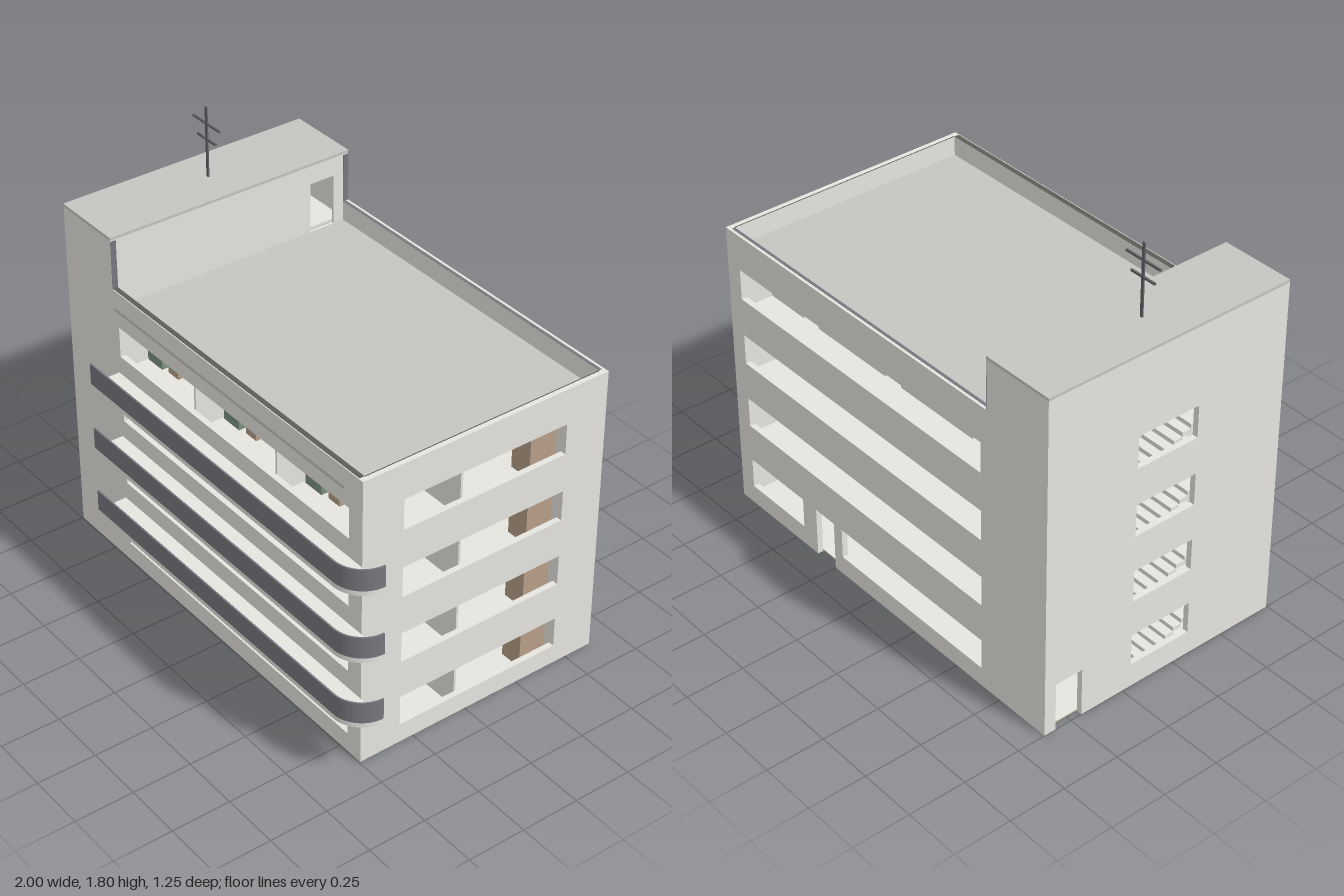
import * as THREE from 'three';

const mat = (name, color) => {
  const m = new THREE.MeshStandardMaterial({ color });
  m.name = name;
  return m;
};

export function createModel() {
  const concrete = mat('concrete', 0xe5e4df);
  const roofGrey = mat('roof grey', 0xc4c4c0);
  const railGrey = mat('rail grey', 0x78777e);
  const wood = mat('wood brown', 0xb59e86);
  const sofaGreen = mat('sofa green', 0x7b907f);
  const bedGrey = mat('bed grey', 0xaeb2b2);
  const dark = mat('dark joint', 0x5c5d57);
  const metal = mat('antenna metal', 0x606063);

  const root = new THREE.Group();
  root.name = 'apartmentBlock';

  const add = (name, geo, material) => {
    const m = new THREE.Mesh(geo, material);
    m.name = name;
    root.add(m);
    return m;
  };
  // box given by its limits
  const box = (name, m, x0, x1, y0, y1, z0, z1) =>
    add(name, new THREE.BoxGeometry(x1 - x0, y1 - y0, z1 - z0), m)
      .position.set((x0 + x1) / 2, (y0 + y1) / 2, (z0 + z1) / 2);

  // wall outline along u, with door notches [u0, u1, height] cut into its foot
  const outline = (u0, u1, h, doors = []) => {
    const p = [[u0, 0]];
    for (const [a, b, t] of doors) p.push([a, 0], [a, t], [b, t], [b, 0]);
    p.push([u1, 0], [u1, h], [u0, h]);
    return p;
  };
  const toPath = (C, pts) => new C(pts.map(([x, y]) => new THREE.Vector2(x, y)));
  const wallGeo = (pts, holes, depth) => {
    const s = toPath(THREE.Shape, pts);
    for (const [a, b, c, d] of holes) s.holes.push(toPath(THREE.Path, [[a, c], [a, d], [b, d], [b, c]]));
    return new THREE.ExtrudeGeometry(s, { depth, bevelEnabled: false });
  };
  // wall facing front/back, starting at depth z
  const wallZ = (name, pts, holes, z, t, y = 0) =>
    add(name, wallGeo(pts, holes, t), concrete).position.set(0, y, z);
  // wall facing left/right, u = -z
  const wallX = (name, pts, holes, x, t) => {
    const m = add(name, wallGeo(pts, holes, t), concrete);
    m.rotation.y = Math.PI / 2;
    m.position.x = x;
  };

  const FLOORS = [0, 0.3, 0.6, 0.9];
  const L = -1, R = 0.867, F = 0.495, B = -0.627, T = 0.025, TX = -0.677;
  const H = 1.272, TH = 1.485, ROOF = 1.188;
  const sill = 0.084, head = 0.217;

  // outer shell
  const top = [[R, H], [TX, H], [TX, TH], [L, TH]];
  wallZ('frontWall', [[L, 0], [R, 0], ...top],
    FLOORS.map(f => [-0.645, 0.79, f + sill, f + head]), F - T, T);
  wallZ('backWall', [[L, 0], [0.25, 0], [0.25, head], [0.365, head], [0.365, 0], [R, 0], ...top],
    [[-0.645, 0.2, sill, head], [0.45, 0.79, sill, head],
      ...FLOORS.slice(1).map(f => [-0.645, 0.79, f + sill, f + head])], B, T);
  wallX('rightWall', outline(-F + T, -B - T, H),
    FLOORS.map(f => [-0.312, 0.438, f + sill, f + head]), R - T, T);
  wallX('leftWall', outline(-F + T, -B - T, TH, [[0.45, 0.575, 0.215]]),
    FLOORS.map(f => [-0.075, 0.21, f + 0.105, f + 0.245]), L, T);
  wallX('stairTowerWall', outline(-F + T, -B - T, TH, [[0.45, 0.56, 0.21]]),
    [...FLOORS.slice(1).map(f => [0.45, 0.56, f + 0.005, f + 0.21]), [0.44, 0.555, ROOF, 1.405]],
    TX - 0.012, 0.012);

  // roofs and parapet joints
  box('mainRoof', roofGrey, TX, R - T, 1.175, ROOF, B + T, F - T);
  box('towerRoof', roofGrey, L, TX, TH, 1.497, B, F);
  box('frontParapetCap', dark, TX, R - T, H, H + 0.0008, F - T, F - 0.004);
  box('backParapetJoint', railGrey, TX, R - T, H, H + 0.0008, B + 0.012, B + T);
  box('rightParapetJoint', dark, R - T, R - T + 0.004, H, H + 0.0008, B + T, F - T);
  for (const z of [F - T, B])
    box('towerWallEnd', railGrey, TX, TX + 0.0008, H, TH - 0.004, z, z + T);
  box('facadeStrip', roofGrey, -0.67, 0.765, 1.18, 1.196, F, F + 0.0005);

  // curved balconies with solid railings
  const C = 0.87, r = 0.13;
  const slab = new THREE.Shape();
  slab.moveTo(-0.66, -F);
  slab.lineTo(-0.66, -F - r);
  slab.lineTo(C, -F - r);
  slab.absarc(C, -F, r, -Math.PI / 2, 0, false);
  const rail = new THREE.Shape();
  rail.moveTo(-0.66, -F - r);
  rail.lineTo(C, -F - r);
  rail.absarc(C, -F, r, -Math.PI / 2, 0, false);
  rail.lineTo(C + r - 0.007, -F);
  rail.absarc(C, -F, r - 0.007, 0, -Math.PI / 2, true);
  rail.lineTo(-0.66, -F - r + 0.007);
  const flat = (name, shape, depth, y, m) => {
    const g = new THREE.ExtrudeGeometry(shape, { depth, bevelEnabled: false, curveSegments: 12 });
    const mesh = add(name, g, m);
    mesh.rotation.x = -Math.PI / 2;
    mesh.position.y = y;
  };
  for (const f of FLOORS.slice(1)) {
    flat('balconySlab', slab, 0.02, f - 0.016, concrete);
    flat('balconyRail', rail, 0.092, f + 0.004, railGrey);
  }

  // interior: wooden undersides with pale floors, partitions and furniture
  const units = [-0.69, -0.18, 0.33];
  const doors = units.map(x => [x + 0.212, x + 0.304, 0.207]);
  box('groundFloorBase', wood, L + T, R - T, 0.002, 0.006, B + T, F - T);
  box('groundFloorFinish', concrete, L + T, R - T, 0.006, 0.01, B + T, F - T);
  for (const f of FLOORS) {
    const h = f === 0.9 ? 0.275 : 0.288;
    if (f) {
      box('ceiling', wood, TX, R - T, f - 0.012, f - 0.004, B + T, F - T);
      box('floorFinish', concrete, TX, R - T, f - 0.004, f, B + T, F - T);
    }
    wallZ('roomWall', outline(TX, R - T, h, doors), [], 0.025, 0.01, f);
    wallZ('corridorWall', outline(TX, R - T, h, doors), [], -0.45, 0.01, f);
    for (const x of units.slice(1)) box('partition', concrete, x - 0.005, x + 0.005, f, f + h, -0.44, F - T);
    for (const x of units) {
      box('sofa', sofaGreen, x + 0.014, x + 0.11, f, f + 0.075, 0.18, 0.35);
      box('table', wood, x + 0.14, x + 0.205, f, f + 0.04, 0.24, 0.34);
      box('bed', bedGrey, x + 0.014, x + 0.15, f, f + 0.05, -0.25, 0.012);
      box('headboard', bedGrey, x + 0.014, x + 0.15, f, f + 0.088, -0.012, 0.02);
      box('wardrobe', wood, x + 0.39, x + 0.49, f + 0.001, f + 0.19, -0.432, -0.31);
    }
  }

  // staircase: two flights of steps and two landings per storey
  const N = 8, run = 0.04, rise = 0.15 / N;
  for (const f of FLOORS) {
    for (let i = 0; i < N; i++) {
      const z = -0.21 + i * run, y = f + (i + 1) * rise, zb = 0.11 - i * run;
      box('lowerStep', concrete, -0.97, -0.845, y - rise, y, z, z + run);
      box('upperStep', concrete, -0.825, -0.695, y + 0.15 - rise, y + 0.15, zb - run, zb);
    }
    box('halfLanding', concrete, L + T, -0.692, f + 0.138, f + 0.15, 0.11, 0.3);
    box('landing', concrete, L + T, -0.692, f + 0.288, f + 0.3, B + T, -0.21);
  }

  // antenna
  const ax = -0.838, az = -0.065;
  box('antennaMast', metal, ax - 0.006, ax + 0.006, 1.497, 1.8, az - 0.003, az + 0.003);
  box('antennaUpperBar', metal, -0.925, -0.75, 1.725, 1.733, az - 0.004, az + 0.004);
  box('antennaLowerBar', metal, -0.9, -0.778, 1.657, 1.665, az - 0.004, az + 0.004);

  return root;
}
